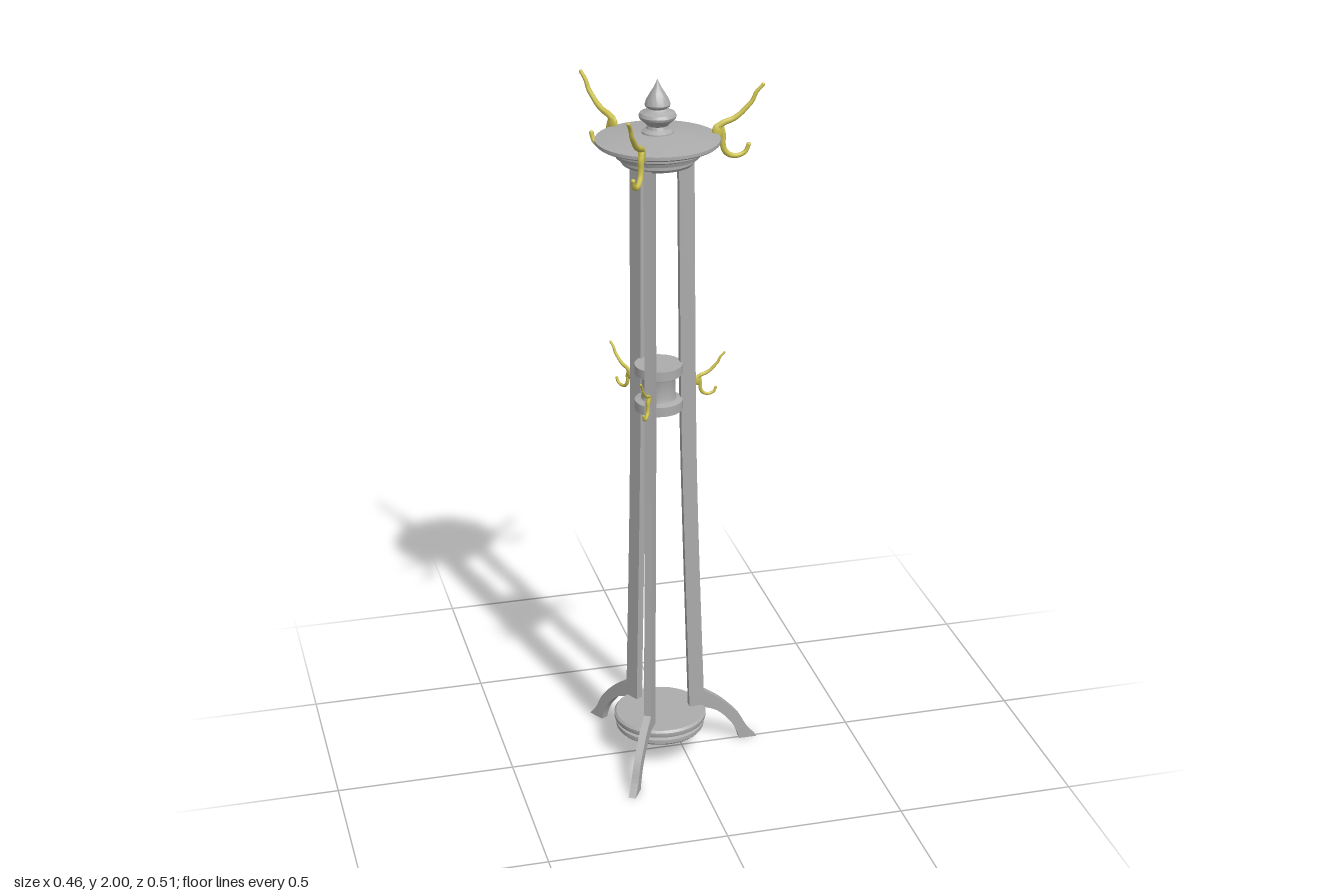
import * as THREE from 'three';
import { toCreasedNormals } from 'three/addons/utils/BufferGeometryUtils.js';

const metal = new THREE.MeshStandardMaterial({ color: 0xacacac });
metal.name = 'grey metal';
const brass = new THREE.MeshStandardMaterial({ color: 0xcdc24e });
brass.name = 'yellow brass';

const v2 = ([x, y]) => new THREE.Vector2(x, y);

function add(parent, name, geometry, material) {
  const mesh = new THREE.Mesh(geometry, material);
  mesh.name = name;
  parent.add(mesh);
  return mesh;
}

// Turned part from a bottom-to-top profile of [radius, height]
function turned(parent, name, profile, segments = 40) {
  const geometry = new THREE.LatheGeometry(profile.map(v2), segments);
  return add(parent, name, toCreasedNormals(geometry, 0.6), metal);
}

// Flat upright with a splayed foot, drawn in the radius/height plane
function legGeometry() {
  const s = new THREE.Shape();
  s.moveTo(0.055, 1.785);
  s.splineThru([[0.06, 1.14], [0.068, 0.75], [0.086, 0.115]].map(v2));
  s.lineTo(0.125, 0.122);
  s.splineThru([[0.168, 0.103], [0.205, 0.066], [0.226, 0.03], [0.236, 0]].map(v2));
  s.lineTo(0.287, 0);
  s.splineThru([[0.262, 0.03], [0.232, 0.083], [0.18, 0.138], [0.128, 0.175]].map(v2));
  s.splineThru([[0.109, 0.75], [0.102, 1.14], [0.097, 1.785]].map(v2));
  const depth = 0.021;
  const g = new THREE.ExtrudeGeometry(s, { depth, bevelEnabled: false, curveSegments: 8 });
  g.translate(0, 0, -depth / 2);
  return toCreasedNormals(g, 0.5);
}

// Tube whose radius shrinks towards its end, closed with a round tip
function taperedRod(parent, name, points, r0, r1) {
  const curve = new THREE.CatmullRomCurve3(points.map(([x, y]) => new THREE.Vector3(x, y, 0)));
  const rings = 24, sides = 8;
  const g = new THREE.TubeGeometry(curve, rings, 1, sides, false);
  const pos = g.attributes.position;
  const p = new THREE.Vector3();
  for (let i = 0; i <= rings; i++) {
    const c = curve.getPointAt(i / rings);
    const r = r0 + (r1 - r0) * (i / rings);
    for (let j = 0; j <= sides; j++) {
      const k = i * (sides + 1) + j;
      p.fromBufferAttribute(pos, k).sub(c).multiplyScalar(r).add(c);
      pos.setXYZ(k, p.x, p.y, p.z);
    }
  }
  add(parent, name, g, brass);
  const tip = add(parent, name + 'Tip', new THREE.SphereGeometry(r1 * 1.1, 8, 6), brass);
  tip.position.copy(curve.getPointAt(1));
}

// Double coat hook; its origin is the mounting point
function makeHook(name) {
  const hook = new THREE.Group();
  hook.name = name;
  taperedRod(hook, 'longProng',
    [[0.014, 0.022], [0.032, 0.032], [0.056, 0.04], [0.076, 0.053], [0.094, 0.07], [0.108, 0.085], [0.119, 0.108], [0.137, 0.127]],
    0.009, 0.005);
  taperedRod(hook, 'shortProng',
    [[0.02, 0.02], [0.028, 0], [0.028, -0.025], [0.034, -0.046], [0.05, -0.059], [0.072, -0.061], [0.091, -0.052], [0.099, -0.034]],
    0.009, 0.006);
  const plate = add(hook, 'mountingBoss', new THREE.SphereGeometry(1, 14, 10), brass);
  plate.scale.set(0.018, 0.024, 0.009);
  plate.position.set(0.016, 0.008, 0);
  return hook;
}

export function createModel() {
  const model = new THREE.Group();
  model.name = 'coatStand';
  const stand = new THREE.Group();
  stand.name = 'stand';
  stand.position.set(-0.064, 0, -0.002);
  model.add(stand);

  // Turned discs, spool and finial on the axis
  turned(stand, 'baseDisc', [
    [0, 0.08], [0.122, 0.08], [0.126, 0.085], [0.126, 0.096], [0.116, 0.1],
    [0.116, 0.105], [0.13, 0.108], [0.132, 0.114], [0.132, 0.122], [0.126, 0.128], [0, 0.128],
  ]);
  turned(stand, 'middleSpool', [
    [0, 1.073], [0.066, 1.073], [0.066, 1.1], [0.049, 1.105], [0.046, 1.115],
    [0.046, 1.163], [0.049, 1.172], [0.066, 1.177], [0.066, 1.204], [0, 1.204],
  ], 24);
  turned(stand, 'topPlate', [
    [0, 1.774], [0.094, 1.774], [0.1, 1.782], [0.1, 1.79], [0.112, 1.794],
    [0.116, 1.804], [0.128, 1.81], [0.128, 1.822], [0.16, 1.826], [0.165, 1.83],
    [0.165, 1.839], [0.05, 1.856], [0, 1.858],
  ], 48);
  turned(stand, 'finial', [
    [0.043, 1.852], [0.042, 1.86], [0.03, 1.868], [0.027, 1.876], [0.036, 1.885],
    [0.048, 1.895], [0.05, 1.902], [0.046, 1.91], [0.03, 1.917], [0.025, 1.922],
    [0.032, 1.927], [0.034, 1.932], [0.03, 1.945], [0.02, 1.962], [0.01, 1.978], [0.005, 1.988], [0, 2],
  ], 32);

  // Three uprights, each carrying a large and a small hook
  const leg = legGeometry();
  for (let i = 0; i < 3; i++) {
    const arm = new THREE.Group();
    arm.name = 'upright' + (i + 1);
    arm.rotation.y = -i * Math.PI * 2 / 3;
    add(arm, 'leg', leg, metal);
    const upper = makeHook('upperHook');
    upper.position.set(0.15, 1.835, -0.006);
    const lower = makeHook('lowerHook');
    lower.scale.setScalar(0.62);
    lower.position.set(0.101, 1.137, -0.004);
    arm.add(upper, lower);
    stand.add(arm);
  }
  return model;
}
